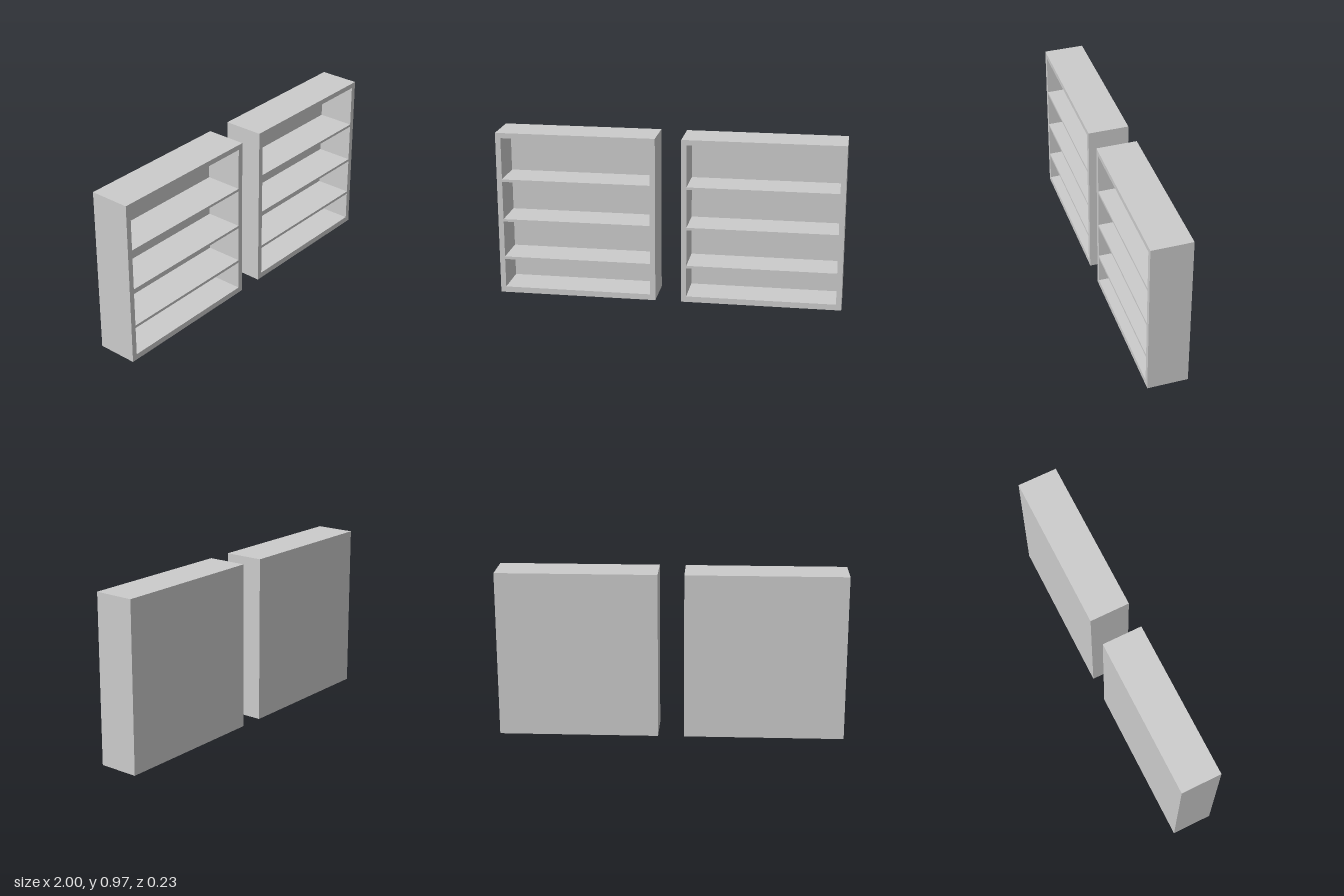
import * as THREE from 'three';

const WIDTH = 0.925, HEIGHT = 0.967, DEPTH = 0.234;
const WALL = 0.031, BACK = 0.016;
// bottom and top of each compartment
const BAYS = [[0.034, 0.206], [0.222, 0.437], [0.452, 0.677], [0.692, 0.937]];

function rectangle(path, x0, y0, x1, y1) {
  path.moveTo(x0, y0);
  path.lineTo(x1, y0);
  path.lineTo(x1, y1);
  path.lineTo(x0, y1);
  path.closePath();
  return path;
}

function createBookcase(name, material) {
  const bookcase = new THREE.Group();
  bookcase.name = name;
  const half = WIDTH / 2;

  // outer frame and shelves, with one opening per compartment
  const outline = rectangle(new THREE.Shape(), -half, 0, half, HEIGHT);
  for (const [bottom, top] of BAYS) {
    outline.holes.push(rectangle(new THREE.Path(), -half + WALL, bottom, half - WALL, top));
  }
  const frame = new THREE.Mesh(
    new THREE.ExtrudeGeometry(outline, { depth: DEPTH - BACK, bevelEnabled: false }),
    material
  );
  frame.name = 'frameAndShelves';
  frame.position.z = -DEPTH / 2 + BACK;

  // panel closing the back
  const back = new THREE.Mesh(new THREE.BoxGeometry(WIDTH, HEIGHT, BACK), material);
  back.name = 'backPanel';
  back.position.set(0, HEIGHT / 2, -DEPTH / 2 + BACK / 2);

  bookcase.add(frame, back);
  return bookcase;
}

export function createModel() {
  const model = new THREE.Group();
  model.name = 'bookcasePair';
  const material = new THREE.MeshStandardMaterial({ color: 0xcccccc, flatShading: true });

  // two identical bookcases with a gap between them
  for (const [name, side] of [['leftBookcase', 1], ['rightBookcase', -1]]) {
    const bookcase = createBookcase(name, material);
    bookcase.position.x = side * (1 - WIDTH / 2);
    model.add(bookcase);
  }
  return model;
}
